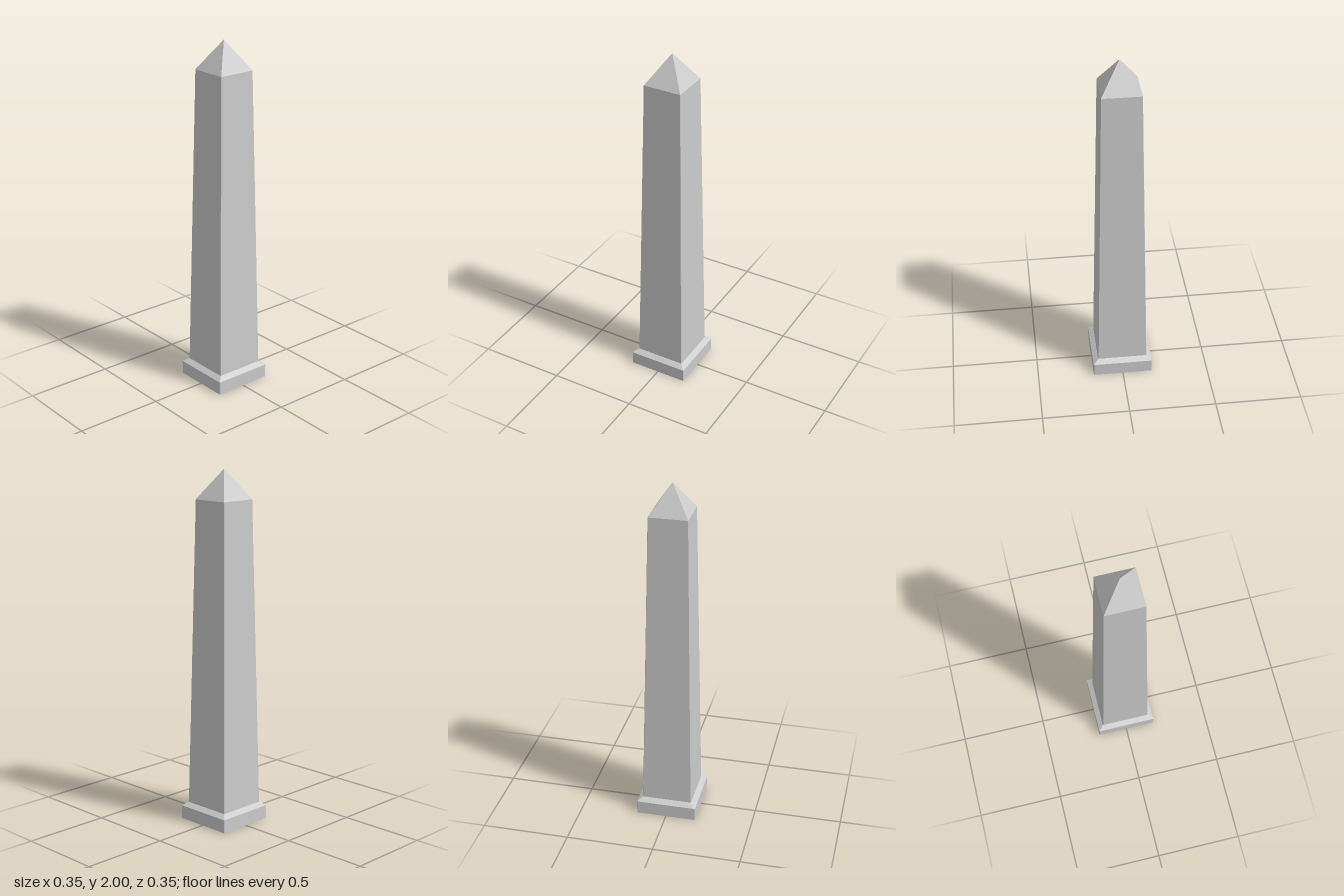
import * as THREE from 'three';

const material = new THREE.MeshStandardMaterial({ color: 0xcccccc, flatShading: true });

// Square outline with slightly clipped corners, counter-clockwise seen from above
function ring([half, y, clip]) {
  const points = [];
  for (let i = 0; i < 4; i++) {
    for (const [x, z] of [[half, -half + clip], [half - clip, -half]]) {
      points.push(new THREE.Vector3(x, y, z).applyAxisAngle(new THREE.Vector3(0, 1, 0), i * Math.PI / 2));
    }
  }
  return points;
}

// Skin a stack of square sections [half width, height, corner clip]; both ends closed
function loft(name, sections) {
  const rings = sections.map(ring);
  const positions = [];
  const tri = (...corners) => corners.forEach((p) => positions.push(p.x, p.y, p.z));
  for (let r = 0; r < rings.length - 1; r++) {
    const a = rings[r], b = rings[r + 1];
    for (let i = 0; i < 8; i++) {
      const j = (i + 1) % 8;
      tri(a[i], a[j], b[j]);
      tri(a[i], b[j], b[i]);
    }
  }
  const bottom = rings[0], top = rings[rings.length - 1];
  for (let i = 1; i < 7; i++) {
    tri(bottom[0], bottom[i + 1], bottom[i]);
    tri(top[0], top[i], top[i + 1]);
  }
  const geometry = new THREE.BufferGeometry();
  geometry.setAttribute('position', new THREE.Float32BufferAttribute(positions, 3));
  geometry.computeVertexNormals();
  const mesh = new THREE.Mesh(geometry, material);
  mesh.name = name;
  return mesh;
}

export function createModel() {
  const group = new THREE.Group();
  group.name = 'obelisk';

  // Square base with a sloped upper edge
  group.add(loft('plinth', [[0.173, 0, 0.003], [0.173, 0.077, 0.003], [0.144, 0.098, 0.003]]));

  // Tall tapering shaft
  group.add(loft('shaft', [[0.144, 0.098, 0.003], [0.109, 1.835, 0.001]]));

  // Pyramid tip
  const cap = new THREE.Mesh(new THREE.ConeGeometry(0.109 * Math.SQRT2, 0.165, 4), material);
  cap.name = 'pyramidCap';
  cap.rotation.y = Math.PI / 4;
  cap.position.y = 1.835 + 0.165 / 2;
  group.add(cap);

  return group;
}
